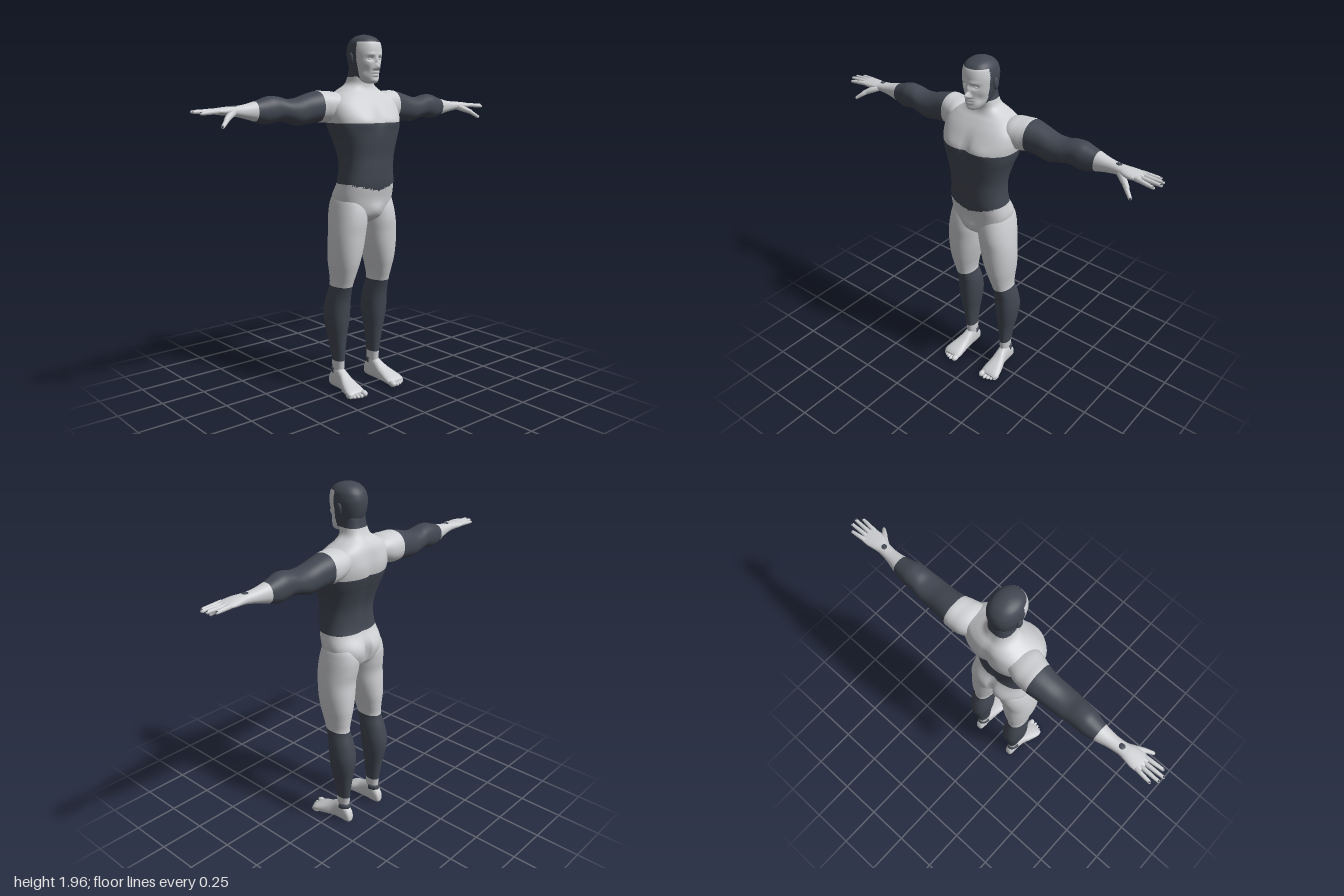
import * as THREE from 'three';

const skin = new THREE.MeshStandardMaterial({ color: 0xcfd0d3 });
skin.name = 'pale grey';
const dark = new THREE.MeshStandardMaterial({ color: 0x424752 });
dark.name = 'dark slate';

const spline = (a, b, c, d, t) =>
  b + 0.5 * t * (c - a + t * (2 * a - 5 * b + 4 * c - d + t * (3 * (b - c) + d - a)));

// Soft mirrored bumps: [x, y, z, rx, ry, rz, dx, dy, dz]
function sculpt(p, bumps) {
  const s = Math.sign(p.x), o = p.clone();
  for (const [x, y, z, rx, ry, rz, dx, dy, dz] of bumps) {
    const w = Math.exp(-(((Math.abs(o.x) - x) / rx) ** 2) - ((o.y - y) / ry) ** 2 - ((o.z - z) / rz) ** 2);
    p.x += s * dx * w;
    p.y += dy * w;
    p.z += dz * w;
  }
}

// Smooth skin through sections [t, u0, u1, v0, v1] set along one axis
function loft(name, sections, { axis = 'y', side = 1, power = 2.2, seg = 48, steps = 7, bumps = [], isDark = () => false }) {
  const place = {
    x: (t, u, v) => new THREE.Vector3(side * t, v, u),
    y: (t, u, v) => new THREE.Vector3(side * u, t, v),
    z: (t, u, v) => new THREE.Vector3(side * v, u, t),
  }[axis];
  const last = sections.length - 1, rows = last * steps, pts = [];
  const bend = (c) => Math.sign(c) * Math.abs(c) ** (2 / power);
  const at = (i) => sections[Math.max(0, Math.min(last, i))];
  for (let r = 0; r <= rows; r++) {
    const k = Math.min(last - 1, Math.floor(r / steps)), f = r / steps - k;
    const [t, u0, u1, v0, v1] = at(k).map((_, c) => spline(at(k - 1)[c], at(k)[c], at(k + 1)[c], at(k + 2)[c], f));
    for (let j = 0; j < seg; j++) {
      const a = (j / seg) * Math.PI * 2;
      pts.push(place(t, (u0 + u1) / 2 + ((u1 - u0) / 2) * bend(Math.cos(a)), (v0 + v1) / 2 + ((v1 - v0) / 2) * bend(Math.sin(a))));
    }
  }
  for (const s of [sections[0], sections[last]]) pts.push(place(s[0], (s[1] + s[2]) / 2, (s[3] + s[4]) / 2));
  pts.forEach((p) => sculpt(p, bumps));

  const faces = [[], []], mid = new THREE.Vector3();
  const tri = (a, b, c) => {
    mid.copy(pts[a]).add(pts[b]).add(pts[c]).divideScalar(3);
    faces[isDark(mid) ? 1 : 0].push(...(side > 0 ? [a, b, c] : [a, c, b]));
  };
  const end = rows * seg, pole = pts.length - 2;
  for (let j = 0; j < seg; j++) {
    const n = (j + 1) % seg;
    for (let r = 0; r < end; r += seg) {
      tri(r + j, r + seg + j, r + n);
      tri(r + n, r + seg + j, r + seg + n);
    }
    tri(pole, j, n);
    tri(pole + 1, end + n, end + j);
  }
  const g = new THREE.BufferGeometry().setFromPoints(pts);
  g.setIndex([...faces[0], ...faces[1]]);
  g.addGroup(0, faces[0].length, 0);
  g.addGroup(faces[0].length, faces[1].length, 1);
  g.computeVertexNormals();
  const mesh = new THREE.Mesh(g, [skin, dark]);
  mesh.name = name;
  return mesh;
}

// Tapered round-tipped digit from a to b
function digit(name, a, b, r0, r1) {
  const len = a.distanceTo(b), prof = [new THREE.Vector2(0, 0), new THREE.Vector2(r0, 0), new THREE.Vector2((r0 + r1) / 2, len * 0.5)];
  for (let i = 0; i <= 5; i++) {
    const q = (i / 5) * Math.PI / 2;
    prof.push(new THREE.Vector2(i === 5 ? 0 : r1 * Math.cos(q), len - r1 + r1 * Math.sin(q)));
  }
  const m = new THREE.Mesh(new THREE.LatheGeometry(prof, 14), skin);
  m.name = name;
  m.position.copy(a);
  m.quaternion.setFromUnitVectors(new THREE.Vector3(0, 1, 0), b.clone().sub(a).normalize());
  return m;
}

function ball(name, mat, pos, size) {
  const m = new THREE.Mesh(new THREE.SphereGeometry(1, 20, 14), mat);
  m.name = name;
  m.position.set(...pos);
  m.scale.set(...size);
  return m;
}

const even = (rows) => rows.map(([y, w, back, front]) => [y, -w, w, back, front]);

function makeTorso() {
  return loft('torso', even([
    [0.955, 0.04, -0.06, 0.04], [0.99, 0.11, -0.115, 0.09], [1.04, 0.16, -0.135, 0.105], [1.1, 0.175, -0.135, 0.115],
    [1.175, 0.166, -0.1, 0.13], [1.25, 0.158, -0.09, 0.134], [1.32, 0.162, -0.095, 0.136], [1.4, 0.182, -0.12, 0.146],
    [1.45, 0.2, -0.138, 0.15], [1.5, 0.212, -0.152, 0.148], [1.55, 0.218, -0.156, 0.13], [1.6, 0.21, -0.152, 0.1],
    [1.64, 0.175, -0.145, 0.068], [1.67, 0.125, -0.13, 0.042], [1.7, 0.08, -0.107, 0.034], [1.74, 0.066, -0.09, 0.04], [1.79, 0.06, -0.08, 0.04],
  ]), {
    power: 2.5, seg: 80,
    bumps: [
      [0.095, 1.51, 0.15, 0.06, 0.04, 0.06, 0, 0, 0.01], // chest muscles
      [0, 1.52, 0.15, 0.018, 0.07, 0.06, 0, 0, -0.012], // breastbone groove
      [0, 1.4, -0.13, 0.022, 0.22, 0.07, 0, 0, 0.016], // spine groove
      [0, 1.05, -0.14, 0.016, 0.08, 0.06, 0, 0, 0.035], // seat cleft
      [0.08, 1.07, -0.13, 0.05, 0.06, 0.05, 0, 0, -0.008], // seat
      [0, 1.03, 0.11, 0.04, 0.035, 0.05, 0, 0, 0.014],
      [0.09, 1.56, -0.15, 0.05, 0.07, 0.05, 0, 0, -0.006], // shoulder blades
    ],
    isDark: (p) => (p.y < 1.5 && p.y > 1.175 - (p.z > 0 ? 0.04 * Math.max(0, 1 - Math.abs(p.x) / 0.16) : 0)) || (p.y > 1.74 && p.z < 0.02),
  });
}

function makeHead() {
  const head = new THREE.Group();
  head.name = 'head';
  head.add(loft('face and hair', even([
    [1.704, 0.016, 0.05, 0.085], [1.712, 0.034, 0.015, 0.097], [1.73, 0.05, -0.03, 0.102], [1.755, 0.063, -0.065, 0.104],
    [1.79, 0.072, -0.082, 0.106], [1.83, 0.079, -0.093, 0.108], [1.87, 0.083, -0.096, 0.109], [1.9, 0.08, -0.09, 0.105],
    [1.92, 0.074, -0.08, 0.097], [1.94, 0.059, -0.06, 0.077], [1.953, 0.036, -0.033, 0.047], [1.959, 0.012, -0.003, 0.018],
  ]), {
    seg: 112, steps: 9,
    bumps: [
      [0.031, 1.833, 0.1, 0.018, 0.011, 0.05, 0, 0, -0.012], // eye sockets
      [0.028, 1.855, 0.1, 0.025, 0.008, 0.05, 0, 0, 0.004], // brows
      [0, 1.825, 0.11, 0.009, 0.018, 0.05, 0, 0, 0.011], // nose bridge
      [0, 1.79, 0.11, 0.011, 0.014, 0.05, 0, 0, 0.032], // nose tip
      [0.013, 1.782, 0.11, 0.007, 0.007, 0.05, 0, 0, 0.01], // nostrils
      [0, 1.762, 0.105, 0.02, 0.005, 0.05, 0, 0, 0.008], // lips
      [0, 1.747, 0.105, 0.017, 0.005, 0.05, 0, 0, 0.007],
      [0, 1.72, 0.1, 0.022, 0.011, 0.05, 0, 0, 0.005], // chin
      [0.05, 1.77, 0.08, 0.018, 0.025, 0.04, -0.005, 0, -0.006], // cheeks
    ],
    isDark: (p) => p.y > 1.92 || (p.z < 0.035 && p.y > 1.735),
  }));
  for (const s of [1, -1]) {
    head.add(ball('ear', dark, [s * 0.085, 1.835, -0.004], [0.009, 0.031, 0.019]));
    head.add(ball('eye', skin, [s * 0.031, 1.832, 0.085], [0.012, 0.007, 0.011]));
  }
  return head;
}

function makeArm(s) {
  const arm = new THREE.Group();
  arm.name = s > 0 ? 'left arm' : 'right arm';
  arm.add(loft('arm and palm', [
    [0.1, -0.12, 0, 1.55, 1.64], [0.17, -0.15, 0.035, 1.515, 1.662], [0.22, -0.156, 0.028, 1.502, 1.666], [0.265, -0.156, 0.014, 1.503, 1.667],
    [0.33, -0.147, 0.006, 1.497, 1.652], [0.4, -0.14, 0.009, 1.49, 1.632], [0.46, -0.138, 0.006, 1.507, 1.628], [0.51, -0.133, -0.003, 1.514, 1.64],
    [0.56, -0.132, -0.006, 1.504, 1.643], [0.6, -0.127, -0.014, 1.504, 1.632], [0.645, -0.118, -0.024, 1.518, 1.618], [0.71, -0.102, -0.031, 1.535, 1.603],
    [0.77, -0.095, -0.026, 1.547, 1.597], [0.81, -0.1, -0.014, 1.552, 1.595], [0.85, -0.106, -0.01, 1.556, 1.591], [0.885, -0.104, -0.014, 1.562, 1.586],
    [0.895, -0.095, -0.025, 1.569, 1.58],
  ], { axis: 'x', side: s, steps: 6, isDark: (p) => Math.abs(p.x) > 0.265 && Math.abs(p.x) < 0.645 }));
  // Fingers: [base z, tip x, tip y, tip z]
  const fingers = [[-0.024, 0.975, 1.566, -0.012], [-0.047, 0.998, 1.573, -0.042], [-0.07, 0.993, 1.574, -0.072], [-0.092, 0.965, 1.572, -0.102]];
  for (const [z, x, y, tz] of fingers) {
    arm.add(digit('finger', new THREE.Vector3(s * 0.87, 1.575, z), new THREE.Vector3(s * x, y, tz), 0.0125, 0.0085));
    arm.add(ball('fingernail', dark, [s * (x - 0.008), y + 0.006, tz], [0.007, 0.003, 0.005]));
  }
  arm.add(digit('thumb base', new THREE.Vector3(s * 0.785, 1.568, -0.04), new THREE.Vector3(s * 0.86, 1.53, 0.018), 0.02, 0.013));
  arm.add(digit('thumb', new THREE.Vector3(s * 0.84, 1.54, 0.006), new THREE.Vector3(s * 0.892, 1.5, 0.042), 0.013, 0.009));
  arm.add(ball('thumbnail', dark, [s * 0.889, 1.506, 0.042], [0.006, 0.006, 0.005]));
  arm.add(ball('wrist spot', dark, [s * 0.763, 1.597, -0.062], [0.016, 0.004, 0.014]));
  return arm;
}

function makeLeg(s) {
  const leg = new THREE.Group();
  leg.name = s > 0 ? 'left leg' : 'right leg';
  leg.add(loft('leg', [
    [0.08, 0.105, 0.153, -0.108, -0.03], [0.12, 0.102, 0.155, -0.109, -0.027], [0.165, 0.1, 0.158, -0.113, -0.023], [0.23, 0.096, 0.167, -0.121, -0.016],
    [0.3, 0.088, 0.18, -0.132, -0.008], [0.38, 0.076, 0.196, -0.147, 0.004], [0.45, 0.07, 0.202, -0.15, 0.011], [0.53, 0.073, 0.196, -0.134, 0.02],
    [0.605, 0.082, 0.184, -0.11, 0.042], [0.67, 0.07, 0.189, -0.113, 0.064], [0.74, 0.05, 0.2, -0.12, 0.084], [0.82, 0.03, 0.207, -0.12, 0.096],
    [0.9, 0.017, 0.206, -0.117, 0.102], [0.97, 0.008, 0.198, -0.128, 0.107], [1.04, 0.006, 0.186, -0.133, 0.1], [1.1, 0.025, 0.168, -0.115, 0.08],
    [1.15, 0.06, 0.125, -0.06, 0.04],
  ], { side: s, isDark: (p) => p.y > 0.165 && p.y < 0.605 }));
  leg.add(loft('foot', [
    [-0.132, 0.02, 0.045, 0.12, 0.142], [-0.122, 0.004, 0.075, 0.108, 0.154], [-0.09, 0, 0.115, 0.101, 0.16], [-0.05, 0, 0.125, 0.1, 0.161],
    [-0.01, 0, 0.105, 0.097, 0.168], [0.03, 0, 0.08, 0.094, 0.184], [0.08, 0, 0.058, 0.089, 0.2], [0.112, 0, 0.043, 0.09, 0.202], [0.128, 0.006, 0.03, 0.1, 0.19],
  ], { axis: 'z', side: s, power: 2.4 }));
  [[0.107, 0.137, 0.018], [0.133, 0.137, 0.012], [0.154, 0.13, 0.012], [0.173, 0.121, 0.011], [0.19, 0.11, 0.011]].forEach(([x, z, r]) =>
    leg.add(ball('toe', skin, [s * x, r, z - 0.006], [r, r, 0.026])));
  const strap = new THREE.Mesh(new THREE.TorusGeometry(0.031, 0.008, 10, 28, Math.PI), dark);
  strap.name = 'ankle strap';
  strap.geometry.rotateX(-Math.PI / 2).scale(0.95, 2, 1.4);
  strap.position.set(s * 0.13, 0.104, -0.064);
  leg.add(strap);
  return leg;
}

export function createModel() {
  const figure = new THREE.Group();
  figure.name = 'standing figure';
  figure.add(makeTorso(), makeHead());
  for (const s of [1, -1]) figure.add(makeArm(s), makeLeg(s));
  return figure;
}
